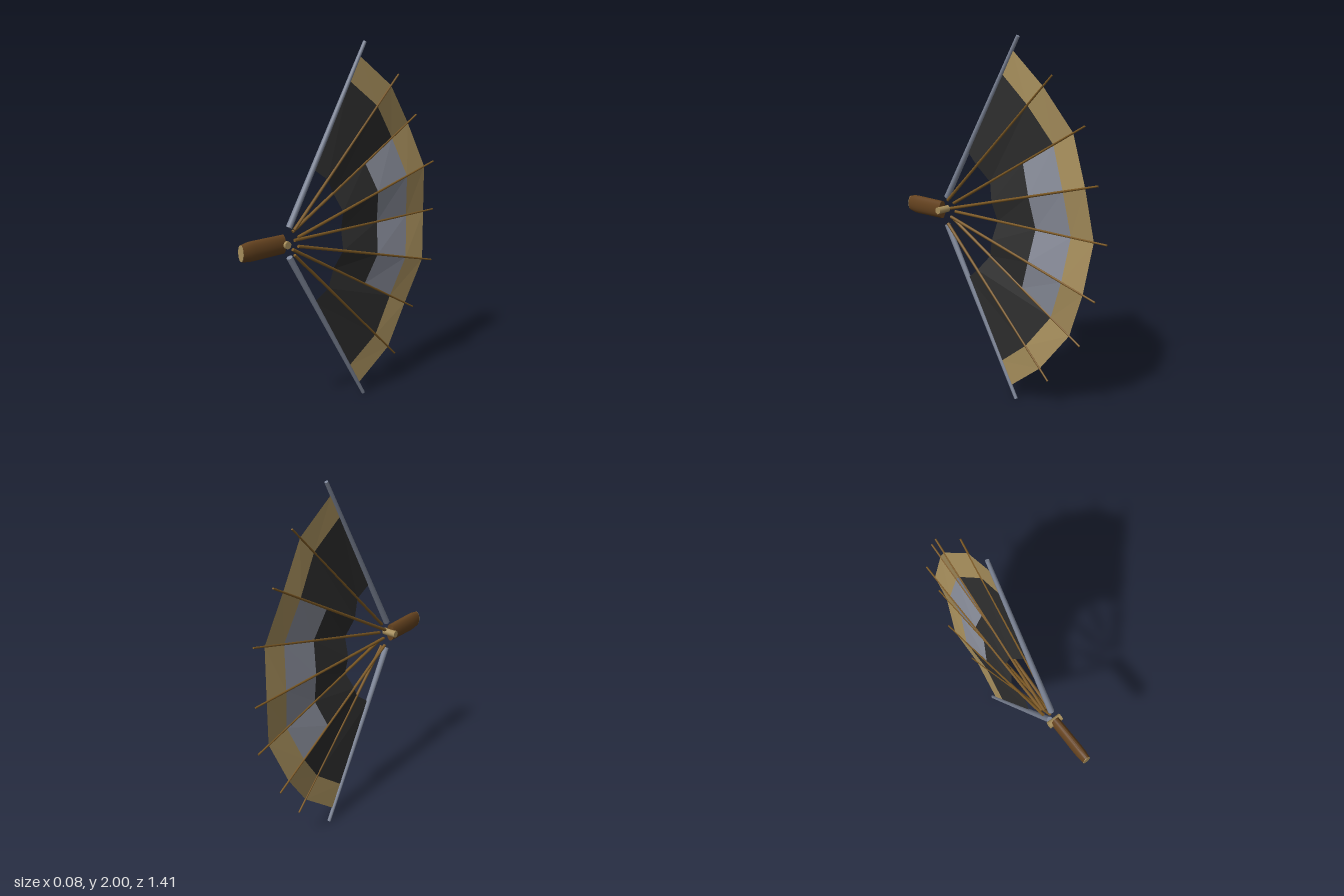
import * as THREE from 'three';
import { toCreasedNormals } from 'three/addons/utils/BufferGeometryUtils.js';

const material = (name, color, side = THREE.FrontSide) => {
  const m = new THREE.MeshStandardMaterial({ color, side });
  m.name = name;
  return m;
};

const PIVOT = new THREE.Vector3(0, 1, 0.446);
const STEP = Math.PI / 12; // angle between ribs
const HALF = 4; // ribs run from -4 to +4
const PLEAT = 0.017;

// Pleat offset: alternate sides, flat against the two guards
const pleatX = (i) => (Math.abs(i) === HALF ? 0 : i % 2 === 0 ? -PLEAT : PLEAT);

// Point on rib i at distance r from the pivot
const ribPoint = (i, r) => new THREE.Vector3(
  pleatX(i), PIVOT.y + r * Math.sin(i * STEP), PIVOT.z - r * Math.cos(i * STEP));

export function createModel() {
  const gold = material('gold', 0xa68e5c);
  const goldLeaf = material('gold leaf', 0xa68e5c, THREE.DoubleSide);
  const blackLeaf = material('black leaf', 0x2d2d2d, THREE.DoubleSide);
  const greyLeaf = material('grey leaf', 0x898d9a, THREE.DoubleSide);
  const bamboo = material('bamboo', 0x7a5723);
  const steel = material('steel', 0x7b8395);
  const wood = material('dark wood', 0x64421f);

  const group = new THREE.Group();
  const add = (name, geometry, mat, parent = group) => {
    const mesh = new THREE.Mesh(geometry, mat);
    mesh.name = name;
    parent.add(mesh);
    return mesh;
  };

  // Tapered stick lying along rib i
  const stick = (name, i, r0, r1, thick, thin, mat, sides) => {
    const a = ribPoint(i, r0), b = ribPoint(i, r1);
    const mesh = add(name, new THREE.CylinderGeometry(thin, thick, r1 - r0, sides), mat);
    mesh.position.copy(a).add(b).multiplyScalar(0.5);
    mesh.quaternion.setFromUnitVectors(new THREE.Vector3(0, 1, 0), b.sub(a).normalize());
  };

  // Ribs and the two heavier guards
  for (let i = -HALF; i <= HALF; i++) {
    if (Math.abs(i) === HALF) stick('guard', i, 0.092, 1.15, 0.017, 0.01, steel, 10);
    else stick('rib', i, 0.095, 1.15, 0.009, 0.005, bamboo, 8);
  }

  // Pleated band of the leaf between two radii, from rib i0 to rib i1
  const band = (name, i0, i1, inner, outer, mat) => {
    const pos = [];
    for (let i = i0; i < i1; i++) {
      const a = ribPoint(i, inner), b = ribPoint(i, outer);
      const c = ribPoint(i + 1, outer), d = ribPoint(i + 1, inner);
      for (const p of [a, b, c, a, c, d]) pos.push(p.x, p.y, p.z);
    }
    const geo = new THREE.BufferGeometry();
    geo.setAttribute('position', new THREE.Float32BufferAttribute(pos, 3));
    geo.computeVertexNormals();
    add(name, geo, mat);
  };
  band('leafBorder', -4, 4, 0.925, 1.07, goldLeaf);
  band('leafCentrePanel', -2, 2, 0.69, 0.925, greyLeaf);
  band('leafInnerPanel', -2, 2, 0.42, 0.69, blackLeaf);
  band('leafUpperPanel', 2, 4, 0.42, 0.925, blackLeaf);
  band('leafLowerPanel', -4, -2, 0.42, 0.925, blackLeaf);

  // Flattened handle with a narrowed butt
  const profile = [[0, 0.44], [0.051, 0.44], [0.053, 0.63], [0.052, 0.66], [0.044, 0.703], [0, 0.703]];
  const handle = new THREE.LatheGeometry(profile.map(([r, y]) => new THREE.Vector2(r, y)), 20);
  handle.rotateX(Math.PI / 2).scale(0.5, 1, 1);
  add('handle', toCreasedNormals(handle, 0.7), wood).position.y = PIVOT.y;

  // Thin cap on the handle butt
  const cap = new THREE.CylinderGeometry(0.043, 0.043, 0.004, 20);
  cap.rotateX(Math.PI / 2).scale(0.5, 1, 1);
  add('handleCap', cap, gold).position.set(0, PIVOT.y, 0.704);

  // Pivot pin across the handle
  const pin = new THREE.CylinderGeometry(0.02, 0.02, 0.08, 12);
  pin.rotateZ(Math.PI / 2);
  add('pivotPin', pin, gold).position.set(0, PIVOT.y, 0.438);

  return group;
}
